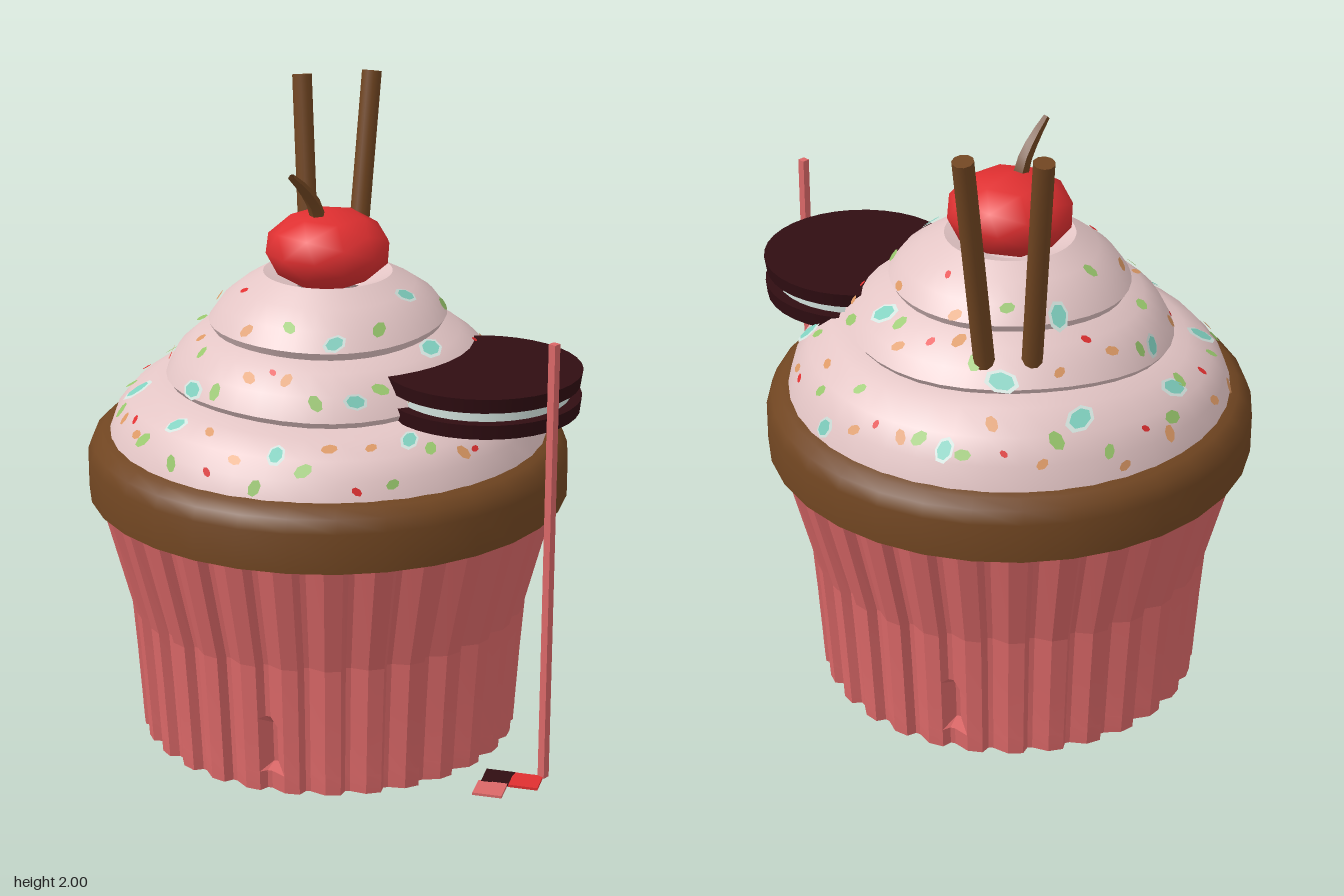
import * as THREE from 'three';
import { mergeGeometries, toCreasedNormals } from 'three/addons/utils/BufferGeometryUtils.js';

const V = (x, y, z) => new THREE.Vector3(x, y, z);

function material(name, color, side = THREE.FrontSide) {
  const m = new THREE.MeshStandardMaterial({ color, side });
  m.name = name;
  return m;
}

function add(parent, name, geometry, mat, x = 0, y = 0, z = 0) {
  const mesh = new THREE.Mesh(geometry, mat);
  mesh.name = name;
  mesh.position.set(x, y, z);
  parent.add(mesh);
  return mesh;
}

// Closed tube of rings, bottom to top; point(row, column) gives each vertex
function rings(rows, cols, point, crease) {
  const positions = [], index = [];
  for (let j = 0; j < rows; j++)
    for (let i = 0; i < cols; i++) {
      positions.push(...point(j, i).toArray());
      if (j === rows - 1) continue;
      const a = j * cols + i, b = j * cols + (i + 1) % cols;
      index.push(a, b, a + cols, b, b + cols, a + cols);
    }
  const g = new THREE.BufferGeometry();
  g.setAttribute('position', new THREE.Float32BufferAttribute(positions, 3));
  g.setIndex(index);
  return toCreasedNormals(g, crease);
}

// Straight round stick between two points
function stick(from, to, radius) {
  return new THREE.TubeGeometry(new THREE.LineCurve3(from, to), 1, radius, 10, false);
}

// Frosting: three swirled layers, [radius, height, tilt]
const FROSTING = [
  [0.69, 0.98, 0], [0.665, 1.06, 0.01], [0.62, 1.12, 0.02], [0.55, 1.17, 0.03],
  [0.49, 1.185, 0.03], [0.505, 1.205, 0.03], [0.47, 1.26, 0.015], [0.41, 1.31, 0.01],
  [0.355, 1.335, 0.012], [0.37, 1.36, 0.012], [0.33, 1.415, 0.01], [0.27, 1.46, 0.005],
  [0.2, 1.5, 0], [0.1, 1.46, 0],
];

function frostingPoint(t, a) {
  const i = Math.min(Math.floor(t), FROSTING.length - 2), f = t - i;
  const [r, y, w] = FROSTING[i].map((v, k) => v + (FROSTING[i + 1][k] - v) * f);
  return V(r * Math.sin(a), y + w * (Math.sin(a) + 0.35 * Math.sin(3 * a)), r * Math.cos(a));
}

// Thin flat sprinkle lying on the frosting
function sprinkle(t, a, size, stretch, spin, lift) {
  const p = frostingPoint(t, a);
  const across = frostingPoint(t, a + 0.02).sub(p);
  const up = frostingPoint(t + 0.02, a).sub(p);
  const n = across.cross(up).normalize();
  const g = new THREE.CircleGeometry(size, 7).scale(stretch, 1, 1).rotateZ(spin);
  g.applyQuaternion(new THREE.Quaternion().setFromUnitVectors(V(0, 0, 1), n));
  p.addScaledVector(n, lift);
  return g.translate(p.x, p.y, p.z);
}

export function createModel() {
  const wrapperPink = material('wrapper pink', 0xdb6868);
  const crustBrown = material('baked brown', 0x704521, THREE.DoubleSide);
  const frostingPink = material('frosting pink', 0xe3c5c5, THREE.DoubleSide);
  const cherryRed = material('cherry red', 0xdf2f30);
  const cookieDark = material('dark chocolate', 0x300d12);
  const cream = material('pale cream', 0xd2e2dd);
  const mint = material('mint', 0x80d0bf);
  const green = material('leaf green', 0x98c66c);
  const orange = material('soft orange', 0xdb9864);

  const model = new THREE.Group();
  model.name = 'cupcake';
  const cake = new THREE.Group();
  cake.name = 'cake';
  cake.position.z = -0.095;
  model.add(cake);

  // Pleated paper wrapper with a small dent on two opposite pleats
  const pleats = 30, cols = pleats * 4;
  const levels = [[0, 0.6], [0.06, 0.604], [0.065, 0.604], [0.2, 0.613], [0.25, 0.616], [0.43, 0.63], [0.83, 0.735]];
  const wrapperPoint = (j, i) => {
    const a = (i + [0, 0.5, 0, -0.5][i % 4]) / cols * Math.PI * 2;
    const dented = (j === 2 || j === 3) && [38, 39, 98, 99].includes(i);
    const r = levels[j][1] - (i % 4 > 1 ? 0.027 : 0) - (dented ? 0.06 : 0);
    return V(r * Math.sin(a), levels[j][0], r * Math.cos(a));
  };
  add(cake, 'wrapper', rings(levels.length, cols, wrapperPoint, 0.1), wrapperPink);
  const base = new THREE.Shape();
  for (let i = 0; i < cols; i++) {
    const p = wrapperPoint(0, i);
    i ? base.lineTo(p.x, p.z) : base.moveTo(p.x, p.z);
  }
  add(cake, 'wrapperBase', new THREE.ShapeGeometry(base).rotateX(Math.PI / 2), wrapperPink);

  // Rounded crust rim
  const rim = [[0.755, 0.8], [0.755, 0.925], [0.74, 0.965], [0.71, 0.99], [0.67, 1.0], [0.58, 1.0]];
  add(cake, 'crust', rings(rim.length, 32, (j, i) => {
    const a = i / 32 * Math.PI * 2;
    return V(rim[j][0] * Math.sin(a), rim[j][1], rim[j][0] * Math.cos(a));
  }, 0.6), crustBrown);

  // Frosting swirl
  add(cake, 'frosting', rings(FROSTING.length, 40,
    (j, i) => frostingPoint(j, i / 40 * Math.PI * 2), 0.7), frostingPink);

  // Sprinkles scattered over the layers
  let seed = 7;
  const random = () => (seed = (seed * 16807) % 2147483647) / 2147483647;
  const sets = { mint: [], green: [], orange: [], red: [], halo: [] };
  const kinds = ['mint', 'green', 'orange', 'red', 'orange', 'green'];
  for (const [start, span, count] of [[0.6, 2.1, 58], [5.3, 2.1, 34], [9.2, 1.9, 14]])
    for (let k = 0; k < count; k++) {
      const kind = kinds[k % kinds.length];
      const a = (k + 0.6 * random()) / count * Math.PI * 2;
      const t = start + span * random(), spin = random() * Math.PI;
      const size = { mint: 0.023, green: 0.018, orange: 0.016, red: 0.011 }[kind] * (0.8 + 0.4 * random());
      sets[kind].push(sprinkle(t, a, size, 1.5, spin, 0.008));
      if (kind === 'mint') sets.halo.push(sprinkle(t, a, size * 1.35, 1.5, spin, 0.005));
    }
  const paints = { mint, green, orange, red: cherryRed, halo: cream };
  for (const kind in sets) add(cake, kind + 'Sprinkles', mergeGeometries(sets[kind]), paints[kind]);

  // Faceted cherry and its curved stem
  add(cake, 'cherry', new THREE.IcosahedronGeometry(0.197, 1).scale(1, 0.635, 1), cherryRed, 0, 1.57, 0);
  const bend = new THREE.CatmullRomCurve3([V(-0.035, 1.64, 0), V(-0.055, 1.71, 0), V(-0.1, 1.77, 0), V(-0.16, 1.825, 0)]);
  const widths = [0.026, 0.025, 0.023, 0.02, 0.016, 0.011];
  add(cake, 'cherryStem', rings(6, 5, (j, i) => {
    const p = bend.getPoint(j / 5), d = bend.getTangent(j / 5), a = i / 5 * Math.PI * 2;
    const side = V(d.y, -d.x, 0);
    return p.addScaledVector(side, Math.sin(a) * widths[j]).add(V(0, 0, Math.cos(a) * widths[j]));
  }, 0.3), crustBrown);

  // Two wafer sticks
  for (const [from, to] of [
    [V(0.262, 1.2, -0.415), V(0.355, 1.985, -0.54)],
    [V(0.352, 1.2, -0.322), V(0.515, 1.995, -0.382)],
  ]) {
    add(model, 'waferStick', stick(from, to, 0.032), crustBrown);
    const cap = add(model, 'waferStickEnd', new THREE.CircleGeometry(0.032, 10), crustBrown, ...to.toArray());
    cap.quaternion.setFromUnitVectors(V(0, 0, 1), to.clone().sub(from).normalize());
  }

  // Sandwich cookie pushed into the frosting
  const cookie = new THREE.Group();
  cookie.name = 'cookie';
  cookie.position.set(0.1, 0, 0.45);
  model.add(cookie);
  add(cookie, 'upperWafer', new THREE.CylinderGeometry(0.302, 0.295, 0.045, 36), cookieDark, 0, 1.263, 0);
  add(cookie, 'creamFilling', new THREE.CylinderGeometry(0.265, 0.265, 0.05, 36), cream, 0, 1.222, 0);
  add(cookie, 'lowerWafer', new THREE.CylinderGeometry(0.3, 0.295, 0.045, 36), cookieDark, 0, 1.182, 0);

  // Thin upright rod with flat tabs at its foot
  add(model, 'rod', new THREE.BoxGeometry(0.024, 1.39, 0.024), wrapperPink, 0, 0.765, 0.8);
  for (const [name, x, z, mat] of [
    ['pinkTab', -0.175, 0.735, wrapperPink],
    ['redTab', -0.062, 0.782, cherryRed],
    ['darkTab', -0.1, 0.705, cookieDark],
  ]) add(model, name, new THREE.BoxGeometry(0.085, 0.008, 0.09), mat, x, 0.07, z).rotation.y = 0.48;

  return model;
}
